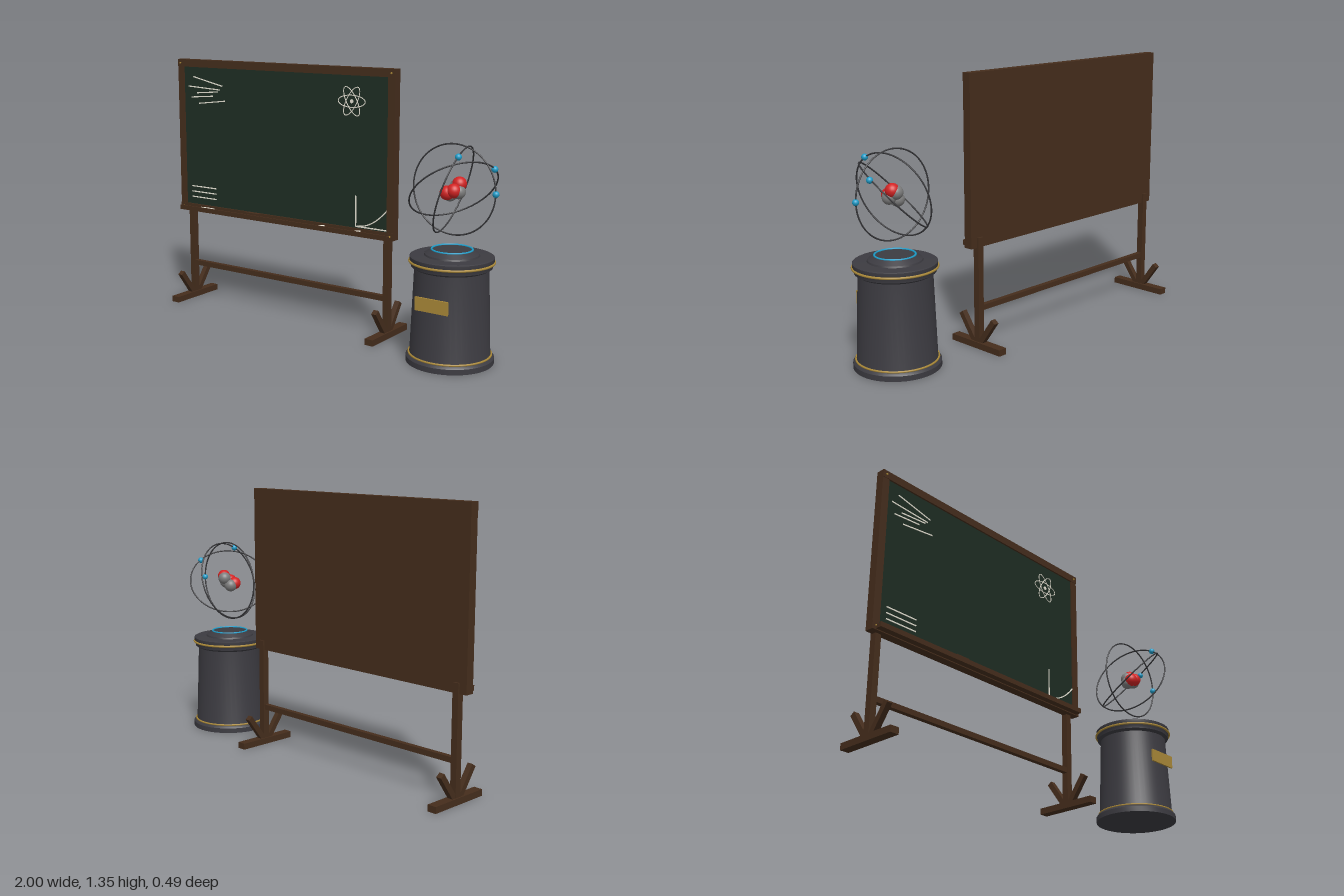
import * as THREE from 'three';
import { toCreasedNormals } from 'three/addons/utils/BufferGeometryUtils.js';

const mat = (name, color) => {
  const m = new THREE.MeshStandardMaterial({ color });
  m.name = name;
  return m;
};

export function createModel() {
  const wood = mat('dark wood', 0x452d1c);
  const slate = mat('green slate', 0x1e2d23);
  const chalk = mat('chalk', 0xe6e2d4);
  const iron = mat('charcoal', 0x3c3b41);
  const brass = mat('brass', 0xa98838);
  const cyan = mat('cyan', 0x1e9cc8);
  const red = mat('red', 0xd22323);
  const grey = mat('grey', 0x7c7c7c);
  const wire = mat('dark wire', 0x38383b);

  const model = new THREE.Group();
  model.name = 'classroomSet';
  const group = (name) => {
    const g = new THREE.Group();
    g.name = name;
    model.add(g);
    return g;
  };
  const add = (parent, name, geo, material, x = 0, y = 0, z = 0) => {
    const m = new THREE.Mesh(geo, material);
    m.name = name;
    m.position.set(x, y, z);
    parent.add(m);
    return m;
  };
  // box given by its minimum and maximum on each axis
  const box = (parent, name, material, x0, x1, y0, y1, z0, z1) =>
    add(parent, name, new THREE.BoxGeometry(x1 - x0, y1 - y0, z1 - z0), material,
      (x0 + x1) / 2, (y0 + y1) / 2, (z0 + z1) / 2);

  // Blackboard: slate, backing and frame
  const board = group('blackboard');
  box(board, 'backPanel', wood, -0.995, 0.395, 0.515, 1.345, -0.09, -0.065);
  box(board, 'slate', slate, -0.97, 0.37, 0.54, 1.32, -0.066, -0.052);
  box(board, 'topRail', wood, -1, 0.4, 1.31, 1.35, -0.09, -0.043);
  box(board, 'bottomRail', wood, -1, 0.4, 0.51, 0.548, -0.09, -0.043);
  for (const x of [-1, 0.36]) {
    box(board, 'sideRail', wood, x, x + 0.04, 0.548, 1.31, -0.09, -0.045);
    for (const y of [0.53, 1.33]) {
      const s = add(board, 'screw', new THREE.CylinderGeometry(0.005, 0.005, 0.006, 10), brass, x + 0.02, y, -0.042);
      s.rotation.x = Math.PI / 2;
    }
  }

  // Tray with eraser and chalk sticks
  box(board, 'tray', wood, -0.98, 0.38, 0.515, 0.533, -0.044, -0.012);
  box(board, 'trayLip', wood, -0.98, 0.38, 0.515, 0.54, -0.017, -0.01);
  box(board, 'eraser', wood, -0.51, -0.43, 0.533, 0.55, -0.042, -0.02);
  for (const [x, len, turn] of [[-0.81, 0.05, 0.1], [-0.765, 0.04, -0.1], [-0.02, 0.03, 0.6], [0.2, 0.03, 0.6]]) {
    const c = add(board, 'chalkStick', new THREE.CylinderGeometry(0.004, 0.004, len, 8), chalk, x, 0.537, -0.03);
    c.rotation.set(0, turn, Math.PI / 2);
  }

  // Stand: posts, feet, slanted braces and crossbar
  const stand = group('stand');
  for (const x of [-0.946, 0.346]) {
    box(stand, 'post', wood, x - 0.016, x + 0.016, 0.02, 0.56, -0.1, -0.066);
    box(stand, 'foot', wood, x - 0.023, x + 0.023, 0, 0.032, -0.245, 0.085);
    for (const s of [-1, 1]) {
      const b = add(stand, 'brace', new THREE.BoxGeometry(0.028, 0.17, 0.028), wood, x, 0.088, -0.08 + s * 0.062);
      b.rotation.x = s * 0.62;
    }
  }
  box(stand, 'crossbar', wood, -0.94, 0.34, 0.188, 0.215, -0.094, -0.068);

  // Chalk drawings
  const drawing = group('chalkDrawings');
  const zc = -0.0505;
  const stroke = (x0, y0, x1, y1) => {
    const m = add(drawing, 'chalkStroke',
      new THREE.BoxGeometry(Math.hypot(x1 - x0, y1 - y0), 0.006, 0.003), chalk, (x0 + x1) / 2, (y0 + y1) / 2, zc);
    m.rotation.z = Math.atan2(y1 - y0, x1 - x0);
  };
  for (const s of [
    [-0.895, 1.257, -0.69, 1.214], [-0.933, 1.204, -0.705, 1.193], [-0.87, 1.17, -0.72, 1.182],
    [-0.912, 1.145, -0.757, 1.157], [-0.857, 1.113, -0.672, 1.135],
    [0.175, 0.556, 0.175, 0.712], [0.175, 0.556, 0.37, 0.556],
  ]) stroke(...s);
  for (const y of [0.588, 0.618, 0.648]) stroke(-0.922, y, -0.745, y);
  for (let i = 0; i < 8; i++) {
    const p = (k) => [0.185 + 0.175 * k / 8, 0.558 + 0.1 * (k / 8) ** 2];
    stroke(...p(i), ...p(i + 1));
  }
  for (let i = 0; i < 3; i++) {
    const pts = [];
    for (let k = 0; k < 32; k++) {
      const a = k / 32 * Math.PI * 2;
      pts.push(new THREE.Vector3(0.08 * Math.cos(a), 0.03 * Math.sin(a), 0));
    }
    const e = add(drawing, 'chalkOrbit',
      new THREE.TubeGeometry(new THREE.CatmullRomCurve3(pts, true), 48, 0.0025, 5, true), chalk, 0.147, 1.182, zc);
    e.rotation.z = i * Math.PI / 3;
  }
  const dot = add(drawing, 'chalkDot', new THREE.CylinderGeometry(0.01, 0.01, 0.003, 16), chalk, 0.147, 1.182, zc);
  dot.rotation.x = Math.PI / 2;

  // Pedestal
  const pedestal = group('pedestal');
  pedestal.position.set(0.767, 0, 0.032);
  const profile = [
    [0, 0], [0.208, 0], [0.208, 0.026], [0.2, 0.036], [0.192, 0.04], [0.19, 0.05],
    [0.174, 0.45], [0.19, 0.46], [0.192, 0.475], [0.197, 0.485], [0.197, 0.507],
    [0.192, 0.51], [0.13, 0.512], [0.127, 0.52], [0.1, 0.538], [0, 0.538],
  ].map(([r, y]) => new THREE.Vector2(r, y));
  add(pedestal, 'column', toCreasedNormals(new THREE.LatheGeometry(profile, 48), 0.5), iron);
  const hoop = (name, r, tube, y, m) => {
    add(pedestal, name, new THREE.TorusGeometry(r, tube, 8, 64), m, 0, y, 0).rotation.x = Math.PI / 2;
  };
  hoop('lowerBand', 0.194, 0.005, 0.041, brass);
  hoop('upperBand', 0.197, 0.006, 0.484, brass);
  hoop('glowRing', 0.095, 0.005, 0.539, cyan);
  box(pedestal, 'plaque', brass, -0.085, 0.085, 0.278, 0.342, 0.181, 0.19);

  // Atom: tilted orbits, electrons and nucleus
  const atom = group('atom');
  atom.position.set(0.767, 0.82, 0.032);
  const electrons = [[0.213, 0, 0], [0.176, 0.103, -0.057], [0.075, 0.17, 0.104]];
  electrons.forEach((p, i) => {
    const ring = add(atom, 'orbit', new THREE.TorusGeometry(0.212, 0.0038, 8, 72), wire);
    ring.rotation.set(i * Math.PI / 3, i * 0.61, 0);
    add(atom, 'electron', new THREE.SphereGeometry(0.0155, 20, 14), cyan, ...p);
  });
  for (const [m, x, y, z] of [
    [red, 0.02, 0.026, -0.018], [red, -0.022, -0.014, 0.022], [red, 0.012, -0.002, 0.02],
    [grey, -0.02, -0.024, -0.004], [grey, 0.006, 0.016, -0.026], [grey, 0.025, -0.008, 0.0],
  ]) add(atom, 'nucleon', new THREE.SphereGeometry(0.034, 24, 16), m, x, y, z);

  return model;
}
